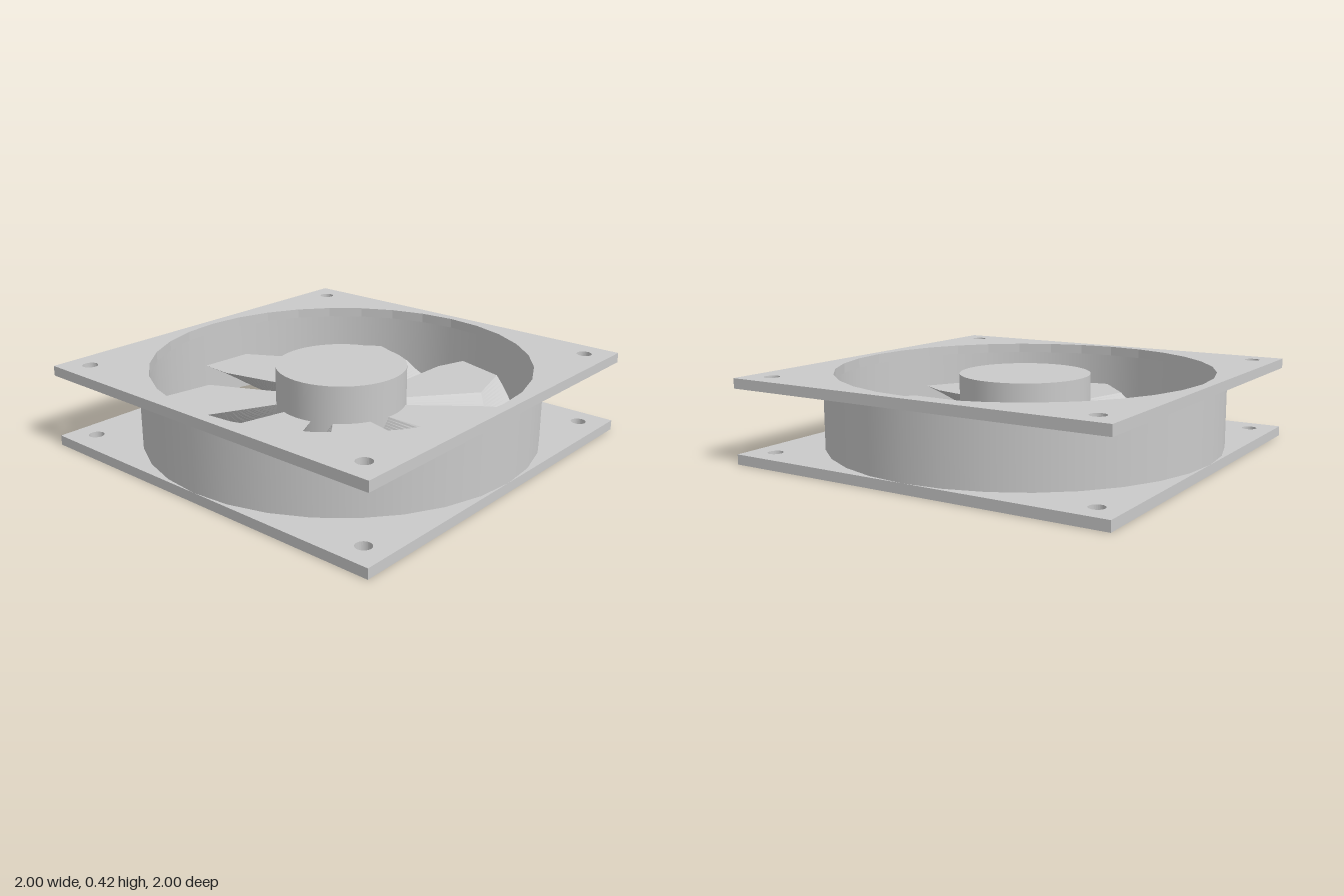
import * as THREE from 'three';

const HEIGHT = 0.42, PLATE = 0.05, INNER = 0.95, SIDES = 32, BLADES = 7;
const rad = THREE.MathUtils.degToRad;

// Square mounting plate with a round opening and four screw holes
function plateGeometry(y) {
  const plate = new THREE.Shape([[-1, -1], [1, -1], [1, 1], [-1, 1]].map(([x, z]) => new THREE.Vector2(x, z)));
  const opening = Array.from({ length: SIDES }, (_, i) => {
    const a = (i / SIDES) * Math.PI * 2;
    return new THREE.Vector2(Math.cos(a) * INNER, Math.sin(a) * INNER);
  });
  plate.holes.push(new THREE.Path(opening));
  for (const x of [-0.875, 0.875]) {
    for (const z of [-0.875, 0.875]) {
      plate.holes.push(new THREE.Path().absarc(x, z, 0.038, 0, Math.PI * 2, true));
    }
  }
  return new THREE.ExtrudeGeometry(plate, { depth: PLATE, bevelEnabled: false, curveSegments: 16 })
    .rotateX(-Math.PI / 2).translate(0, y, 0);
}

// Duct wall at one radius; it faces outward when the profile runs upward
function wallGeometry(radius, from, to) {
  return new THREE.LatheGeometry([new THREE.Vector2(radius, from), new THREE.Vector2(radius, to)], SIDES);
}

// Solid blade: a flat outline swept downward while it twists about the fan axis
function bladeGeometry() {
  const bottom = 0.055, top = 0.205, twist = rad(17.5);
  const outline = [[-13, 0.3], [-20.3, 0.75], [-18, 0.92], [0, 0.92], [15.5, 0.73], [18.5, 0.3]];
  const shape = new THREE.Shape(outline.map(([deg, r]) =>
    new THREE.Vector2(Math.sin(rad(deg)) * r, Math.cos(rad(deg)) * r)));
  const depth = top - bottom;
  const g = new THREE.ExtrudeGeometry(shape, { depth, steps: 14, bevelEnabled: false });
  const pos = g.attributes.position;
  const v = new THREE.Vector3(), axis = new THREE.Vector3(0, 0, 1);
  for (let i = 0; i < pos.count; i++) {
    v.fromBufferAttribute(pos, i);
    v.applyAxisAngle(axis, -twist * (1 - v.z / depth));
    pos.setXYZ(i, v.x, v.y, v.z);
  }
  g.computeVertexNormals();
  return g.rotateX(-Math.PI / 2).translate(0, bottom, 0);
}

export function createModel() {
  const model = new THREE.Group();
  model.name = 'coolingFan';
  const grey = new THREE.MeshStandardMaterial({ color: 0xcacaca });
  grey.name = 'grey';
  const add = (name, geometry, parent = model) => {
    const mesh = new THREE.Mesh(geometry, grey);
    mesh.name = name;
    parent.add(mesh);
    return mesh;
  };

  // Mounting plates
  add('bottomPlate', plateGeometry(0));
  add('topPlate', plateGeometry(HEIGHT - PLATE));

  // Round duct joining the plates
  add('ductOuterWall', wallGeometry(1, PLATE, HEIGHT - PLATE));
  add('ductInnerWall', wallGeometry(INNER, HEIGHT - PLATE, PLATE));

  // Motor hub
  const hubTop = 0.395;
  add('hub', new THREE.CylinderGeometry(0.33, 0.33, hubTop - PLATE, 48).translate(0, (hubTop + PLATE) / 2, 0));

  // Diagonal support struts under the hub
  for (const s of [-1, 1]) {
    const strut = add('strut', new THREE.BoxGeometry(1.91, PLATE, 0.06));
    strut.position.y = PLATE / 2;
    strut.rotation.y = s * Math.PI / 4;
  }

  // Rotor blades
  const rotor = new THREE.Group();
  rotor.name = 'rotor';
  model.add(rotor);
  const blade = bladeGeometry();
  for (let i = 0; i < BLADES; i++) {
    add('blade', blade, rotor).rotation.y = -rad(12.5 + (i * 360) / BLADES);
  }
  return model;
}
